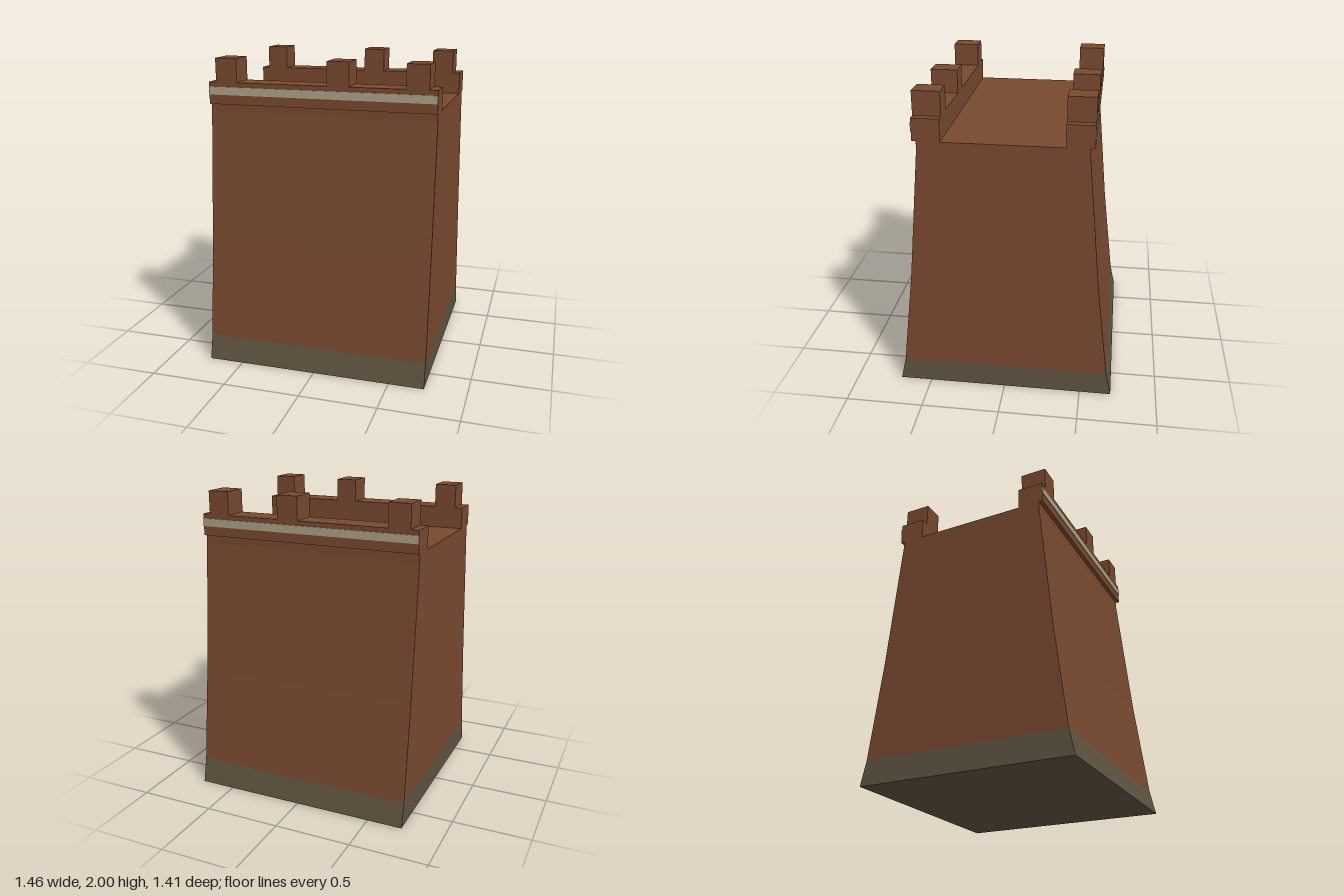
import * as THREE from 'three';

const LENGTH = 1.46; // along x

const material = (name, color) => {
  const m = new THREE.MeshStandardMaterial({ color });
  m.name = name;
  return m;
};

// Symmetric wall section from [halfDepth, y] points (bottom to top), swept along x.
function wallSection(profile) {
  const mirrored = profile.map(([z, y]) => [-z, y]).reverse();
  const shape = new THREE.Shape([...profile, ...mirrored].map(([z, y]) => new THREE.Vector2(z, y)));
  const geometry = new THREE.ExtrudeGeometry(shape, { depth: LENGTH, bevelEnabled: false });
  return geometry.translate(0, 0, -LENGTH / 2).rotateY(Math.PI / 2);
}

export function createModel() {
  const brick = material('brick brown', 0x78492f);
  const stone = material('foundation stone', 0x5e5340);
  const trim = material('pale trim', 0xaba087);

  const model = new THREE.Group();
  model.name = 'wallSegment';

  const add = (parent, name, geometry, mat) => {
    const mesh = new THREE.Mesh(geometry, mat);
    mesh.name = name;
    parent.add(mesh);
    return mesh;
  };
  const box = (parent, name, mat, [w, h, d], [x, y, z]) =>
    add(parent, name, new THREE.BoxGeometry(w, h, d), mat).position.set(x, y, z);

  // Flared foundation and tapering wall body
  add(model, 'foundation', wallSection([[0.705, 0], [0.67, 0.16]]), stone);
  add(model, 'wallBody', wallSection([[0.67, 0.16], [0.593, 0.8], [0.512, 1.66], [0.512, 1.71]]), brick);

  // Parapets with trim strip and merlons, front and back
  for (const side of [1, -1]) {
    const parapet = new THREE.Group();
    parapet.name = side > 0 ? 'frontParapet' : 'backParapet';
    model.add(parapet);
    const z = side * 0.4525;
    box(parapet, 'parapetWall', brick, [LENGTH, 0.14, 0.17], [0, 1.78, z]);
    box(parapet, 'trimStrip', trim, [LENGTH, 0.05, 0.006], [0, 1.795, side * 0.5385]);
    for (const x of [-0.61, 0.12, 0.61]) {
      box(parapet, 'merlon', brick, [0.14, 0.15, 0.17], [x, 1.925, z]);
    }
  }
  return model;
}
